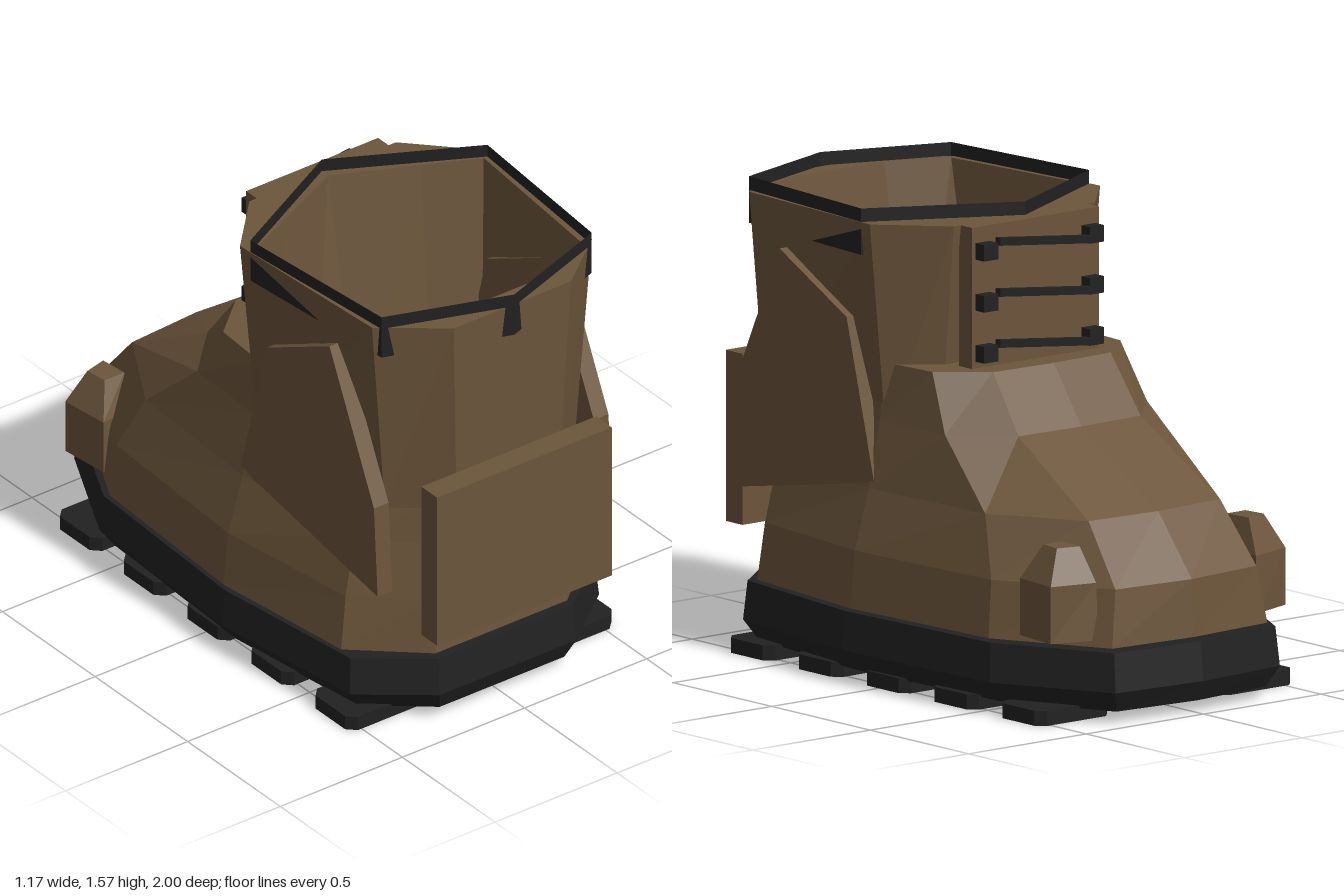
import * as THREE from 'three';

const brown = new THREE.MeshStandardMaterial({ color: 0x6c553b });
brown.name = 'brown leather';
const black = new THREE.MeshStandardMaterial({ color: 0x212121 });
black.name = 'black rubber';
const strip = new THREE.MeshStandardMaterial({ color: 0x212121, side: THREE.DoubleSide });
strip.name = 'black trim';

// Mirrors half an outline [x, z], listed from toe to heel, into a closed ring
// at height y (an entry may carry its own height as a third value).
function ring(y, half) {
  const right = half.map(([x, z, h]) => new THREE.Vector3(x, h ?? y, z));
  const left = right.filter(p => p.x > 0).reverse().map(p => new THREE.Vector3(-p.x, p.y, p.z));
  return [...right, ...left];
}

// Joins rings into a faceted skin, with optional caps on the first and last.
function loft(rings, capFirst, capLast) {
  const v = [];
  const tri = (...ps) => ps.forEach(p => v.push(p.x, p.y, p.z));
  const n = rings[0].length;
  for (let r = 0; r + 1 < rings.length; r++) {
    const a = rings[r], b = rings[r + 1];
    for (let i = 0; i < n; i++) {
      const j = (i + 1) % n;
      tri(a[i], b[i], a[j]);
      tri(a[j], b[i], b[j]);
    }
  }
  const cap = (loop, up) => {
    const c = new THREE.Vector3();
    loop.forEach(p => c.addScaledVector(p, 1 / n));
    for (let i = 0; i < n; i++) {
      const j = (i + 1) % n;
      if (up) tri(c, loop[j], loop[i]);
      else tri(c, loop[i], loop[j]);
    }
  };
  if (capFirst) cap(rings[0], false);
  if (capLast) cap(rings[rings.length - 1], true);
  const g = new THREE.BufferGeometry();
  g.setAttribute('position', new THREE.Float32BufferAttribute(v, 3));
  g.computeVertexNormals();
  return g;
}

const shapeOf = pts => new THREE.Shape(pts.map(([x, y]) => new THREE.Vector2(x, y)));
const slab = (pts, depth) => new THREE.ExtrudeGeometry(shapeOf(pts), { depth, bevelEnabled: false });

export function createModel() {
  const boot = new THREE.Group();
  boot.name = 'boot';
  const add = (name, geometry, material, x = 0, y = 0, z = 0) => {
    const m = new THREE.Mesh(geometry, material);
    m.name = name;
    m.position.set(x, y, z);
    boot.add(m);
    return m;
  };
  const box = (name, material, w, h, d, x, y, z) =>
    add(name, new THREE.BoxGeometry(w, h, d), material, x, y, z);

  // Sole with a bevelled lower edge
  const soleOutline = [[0, -1], [0.35, -0.97], [0.55, -0.57], [0.585, 0.14], [0.51, 0.73], [0.28, 0.91]];
  const scaled = (sx, sz) => soleOutline.map(([x, z]) => [x * sx, z * sz]);
  add('sole', loft([
    ring(0.04, scaled(0.91, 0.965)),
    ring(0.11, soleOutline),
    ring(0.24, scaled(0.98, 0.985)),
  ], true, true), black);

  // Treads: five chamfered blocks on each side
  const tread = slab([
    [-0.155, -0.08], [-0.125, -0.11], [0.125, -0.11], [0.155, -0.08],
    [0.155, 0.08], [0.125, 0.11], [-0.125, 0.11], [-0.155, 0.08],
  ], 0.05).rotateX(Math.PI / 2);
  for (const s of [-1, 1]) {
    for (let i = 0; i < 5; i++) add('tread', tread, black, s * 0.39, 0.05, 0.67 - i * 0.345);
  }

  // Foot upper
  add('footUpper', loft([
    ring(0.25, [[0, -0.955], [0.33, -0.93], [0.53, -0.54], [0.565, 0.12], [0.5, 0.67], [0.27, 0.875]]),
    ring(0.44, [[0, -0.94], [0.3, -0.91], [0.51, -0.53], [0.545, 0.12], [0.475, 0.66], [0.26, 0.86]]),
    ring(0.64, [[0, -0.77], [0.28, -0.75], [0.46, -0.44], [0.485, 0.12], [0.43, 0.65], [0.25, 0.825]]),
    ring(0.86, [[0, -0.38], [0.26, -0.37], [0.43, -0.2], [0.44, 0.12], [0.4, 0.64, 0.8], [0.23, 0.82, 0.8]]),
    ring(1.05, [[0, -0.24], [0.25, -0.23], [0.4, -0.1], [0.415, 0.12], [0.39, 0.64, 0.83], [0.22, 0.82, 0.83]]),
  ], true, false), brown);

  // Flat instep behind the tongue
  add('instep', slab([
    [0, -0.24], [0.25, -0.23], [0.4, -0.1], [0.415, 0.12],
    [0, -0.01], [-0.415, 0.12], [-0.4, -0.1], [-0.25, -0.23],
  ], 0.02).rotateX(Math.PI / 2), brown, 0, 1.05, 0);

  // Hollow shaft: underside, outer wall, rim, lining and floor
  const shaftBase = [[0, 0], [0.28, 0], [0.42, 0.11], [0.39, 0.76], [0.21, 0.91]];
  add('shaft', loft([
    ring(0.8, shaftBase.map(([x, z]) => [x, z > 0.5 ? z - 0.1 : z])),
    ring(0.8, shaftBase),
    ring(1.52, [[0, -0.09], [0.3, -0.09], [0.49, 0.11], [0.45, 0.77], [0.24, 0.935]]),
    ring(1.52, [[0, -0.06], [0.28, 0.07], [0.47, 0.16], [0.41, 0.77], [0.2, 0.86]]),
    ring(0.6, [[0, 0.11], [0.25, 0.18], [0.4, 0.24], [0.385, 0.57], [0.22, 0.72]]),
  ], false, true), brown);

  // Six-cornered collar whose corners poke through the shaft
  const collar = [[0, -0.095], [0.485, 0.16], [0.43, 0.795], [0, 0.945]];
  const collarRing = y => {
    const r = ring(y, collar);
    return r;
  };
  add('collar', loft([collarRing(1.41), collarRing(1.565)], false, false), strip);

  // Heel plate
  box('heelPlate', brown, 0.715, 0.57, 0.085, 0, 0.66, 0.957);

  // Ankle flaps and toe lugs on both sides
  const flap = slab([
    [-0.84, 0.53], [-0.1, 0.66], [-0.24, 1.19], [-0.58, 1.365], [-0.82, 0.86],
  ], 0.06).rotateY(Math.PI / 2);
  const lugLevels = [
    [0.27, [[0.34, -0.87], [0.5, -0.82], [0.48, -0.64], [0.33, -0.66]]],
    [0.46, [[0.34, -0.86], [0.5, -0.82], [0.48, -0.64], [0.33, -0.66]]],
    [0.575, [[0.36, -0.8], [0.44, -0.78], [0.43, -0.7], [0.35, -0.7]]],
  ];
  for (const s of [-1, 1]) {
    add('ankleFlap', flap, brown, s * 0.45 - 0.03, 0, 0);
    const rings = lugLevels.map(([y, pts]) => {
      const loop = pts.map(([x, z]) => new THREE.Vector3(s * x, y, z));
      return s < 0 ? loop.reverse() : loop;
    });
    add('toeLug', loft(rings, true, true), brown);
  }

  // Tongue with three slanted laces and their eyelets
  box('tongue', brown, 0.54, 0.48, 0.067, 0, 1.28, -0.113);
  for (const y of [1.45, 1.28, 1.11]) {
    box('lace', black, 0.39, 0.025, 0.025, 0, y, -0.187).rotation.z = 0.11;
    for (const s of [-1, 1]) box('eyelet', black, 0.06, 0.055, 0.045, s * 0.225, y - 0.01, -0.168);
  }
  return boot;
}
